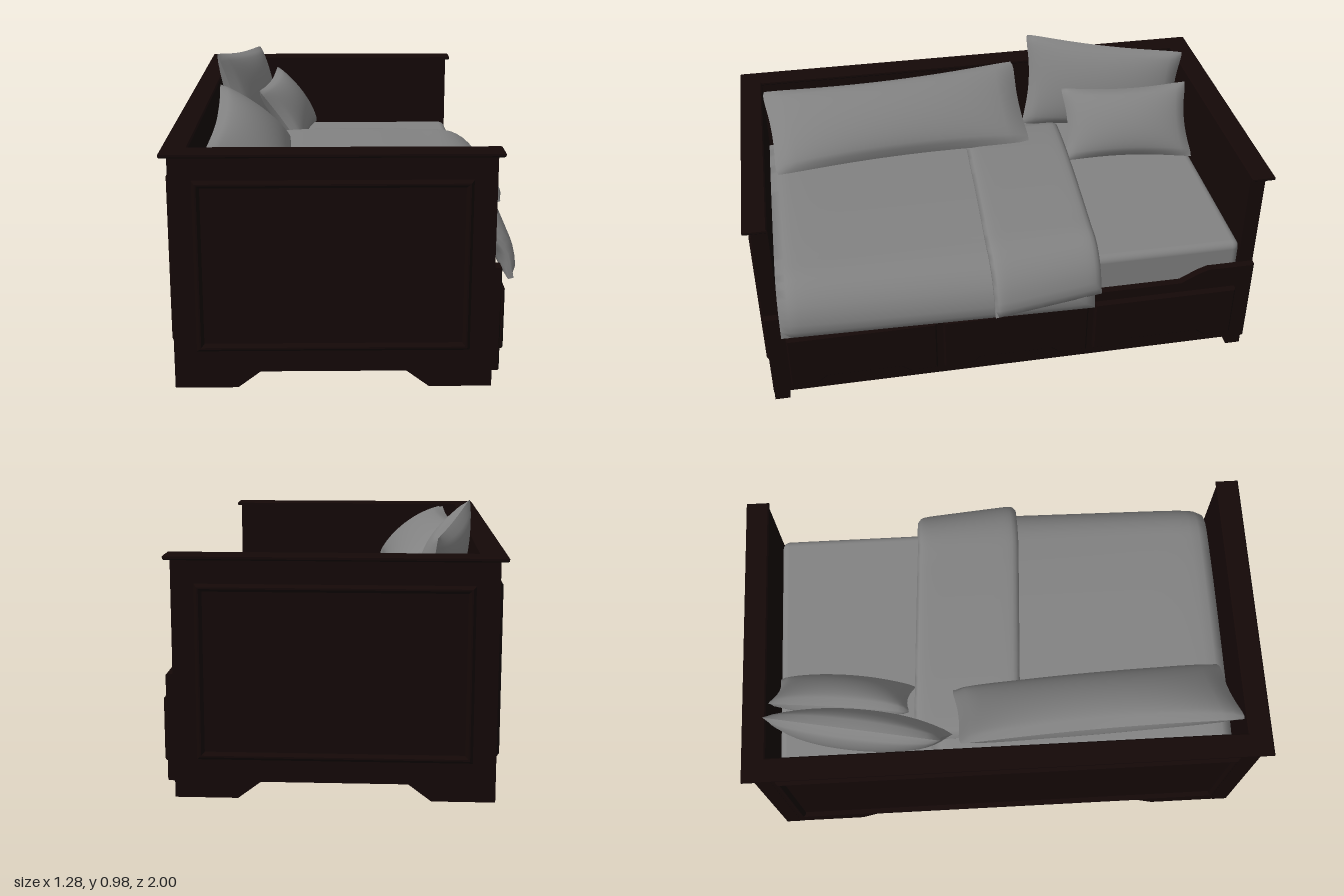
import * as THREE from 'three';
import { mergeGeometries, mergeVertices, toCreasedNormals } from 'three/addons/utils/BufferGeometryUtils.js';
import { RoundedBoxGeometry } from 'three/addons/geometries/RoundedBoxGeometry.js';

const wood = new THREE.MeshStandardMaterial({ color: 0x140807 });
const cloth = new THREE.MeshStandardMaterial({ color: 0x828282 });
const V = (p) => new THREE.Vector3(...p);

function add(group, name, geometry, material) {
  const mesh = new THREE.Mesh(geometry, material);
  mesh.name = name;
  group.add(mesh);
}

const outline = (pts) => new THREE.Shape(pts.map(([x, y]) => new THREE.Vector2(x, y)));

// Flat plate drawn in x-y and extruded from z = 0 to z = depth
function plate(shape, depth, bevel = 0) {
  const g = new THREE.ExtrudeGeometry(shape, {
    depth: depth - 2 * bevel, bevelEnabled: bevel > 0, bevelSize: bevel,
    bevelThickness: bevel, bevelOffset: -bevel, bevelSegments: 1,
  });
  return g.translate(0, 0, bevel);
}

// Same plate, drawn with [z, y] points and extruded along +x from x0
const sidePlate = (pts, x0, depth, bevel) =>
  plate(outline(pts.map(([z, y]) => [-z, y])), depth, bevel).rotateY(Math.PI / 2).translate(x0, 0, 0);

// Panel outline with a raised bottom edge between two sloped feet
const footed = (a, b, foot, slope) => [
  [a, 0], [a + foot, 0], [a + foot + slope, 0.06], [b - foot - slope, 0.06],
  [b - foot, 0], [b, 0], [b, 0.845], [a, 0.845],
];

// Rectangular moulding
function moulding(a, b, y0, y1) {
  const rect = (i) => [[a + i, y0 + i], [b - i, y0 + i], [b - i, y1 - i], [a + i, y1 - i]];
  const s = outline(rect(0));
  s.holes.push(outline(rect(0.026)));
  return plate(s, 0.03, 0.01);
}

// Cushion stretched between four corners: bottom left, bottom right, top right, top left
function pillow(corners, half, pinch) {
  const [a, b, c, d] = corners.map(V);
  const normal = b.clone().sub(a).add(c).sub(d).cross(d.clone().sub(a).add(c).sub(b)).normalize();
  const sides = [1, -1].map((side) => {
    const g = new THREE.PlaneGeometry(2, 2, 24, 20);
    if (side < 0) g.rotateY(Math.PI);
    const pos = g.attributes.position;
    for (let i = 0; i < pos.count; i++) {
      const u = pos.getX(i), v = pos.getY(i);
      const corner = 1 - 0.03 * Math.pow(u * v, 8);
      const s = (u * corner * (1 - pinch[0] * (1 - v * v)) + 1) / 2;
      const t = (v * corner * (1 - pinch[1] * (1 - u * u)) + 1) / 2;
      const puff = half * Math.pow(Math.max(0, (1 - u * u) * (1 - v * v)), 0.5);
      const p = a.clone().lerp(b, s).lerp(d.clone().lerp(c, s), t).addScaledVector(normal, side * puff);
      pos.setXYZ(i, p.x, p.y, p.z);
    }
    return g;
  });
  const g = mergeGeometries(sides);
  g.computeVertexNormals();
  return g;
}

// Thick cover following an x-y path, spread along z; skew shifts z with x, flare tilts the hanging end
function cover(path, half, z0, z1, skew, flare) {
  const curve = new THREE.CatmullRomCurve3(path.map(([x, y]) => new THREE.Vector3(x, y, 0)));
  let g = new THREE.BoxGeometry(2, 2, 2, 40, 4, 32);
  g.deleteAttribute('uv');
  g.deleteAttribute('normal');
  g = mergeVertices(g);
  const pos = g.attributes.position;
  for (let i = 0; i < pos.count; i++) {
    const u = pos.getX(i), v = pos.getY(i), w = pos.getZ(i);
    const t = (u + 1) / 2;
    const p = curve.getPointAt(t), k = curve.getTangentAt(t);
    const round = 0.3 + 0.7 * Math.sqrt((1 - Math.pow(u, 30)) * (1 - Math.pow(w, 12)));
    const h = v * half * round;
    const x = p.x - k.y * h, y = p.y + k.x * h;
    const z = z0 + (z1 - z0) * (w + 1) / 2;
    const hang = Math.max(0, x - 0.3) / 0.3;
    pos.setXYZ(i, x + flare * w * hang, y - 0.4 * flare * w * hang, z + skew * (Math.min(x, 0.4) + 0.2));
  }
  return toCreasedNormals(g, 1.3);
}

export function createModel() {
  const bed = new THREE.Group();
  bed.name = 'daybed';

  // End panels with mouldings, and the back panel
  for (const s of [1, -1]) {
    const end = new THREE.Group();
    end.name = s > 0 ? 'frontEnd' : 'rearEnd';
    add(end, 'endPanel', plate(outline(footed(-0.62, 0.49, 0.22, 0.08)), 0.06).translate(0, 0, s * 0.94 - 0.03), wood);
    add(end, 'endMoulding', moulding(-0.54, 0.41, 0.14, 0.755).translate(0, 0, s * 0.971 - 0.015), wood);
    bed.add(end);
  }
  add(bed, 'backPanel', sidePlate(footed(-0.968, 0.968, 0.33, 0.07), -0.619, 0.06), wood);
  add(bed, 'backMoulding', moulding(-0.89, 0.89, 0.14, 0.755).rotateY(Math.PI / 2).translate(-0.637, 0, 0), wood);

  // U-shaped top cap
  const cap = outline([[-0.645, -1], [0.51, -1], [0.51, -0.91], [-0.555, -0.91],
    [-0.555, 0.91], [0.51, 0.91], [0.51, 1], [-0.645, 1]]);
  add(bed, 'topCap', plate(cap, 0.018, 0.005).rotateX(-Math.PI / 2).translate(0, 0.838, 0), wood);

  // Base box
  add(bed, 'base', new THREE.BoxGeometry(1.06, 0.32, 1.83).translate(-0.035, 0.22, 0), wood);

  // Front rail with raised ends and three drawer fronts
  add(bed, 'frontRail', sidePlate([[0.97, 0.06], [-0.97, 0.06], [-0.97, 0.44], [-0.78, 0.44], [-0.74, 0.425],
    [-0.67, 0.387], [0.895, 0.387], [0.915, 0.44], [0.97, 0.44]], 0.485, 0.03, 0.004), wood);
  for (const z of [0.607, 0, -0.607]) {
    const drawer = [[0.29, 0.11], [0.18, 0.11], [0.145, 0.137], [-0.145, 0.137], [-0.18, 0.11],
      [-0.29, 0.11], [-0.29, 0.34], [0.29, 0.34]].map(([a, y]) => [a + z, y]);
    add(bed, 'drawerFront', sidePlate(drawer, 0.505, 0.033, 0.006), wood);
  }

  // Mattress, duvet and its folded-back band
  add(bed, 'mattress', new RoundedBoxGeometry(1.045, 0.2, 1.82, 4, 0.03).translate(-0.033, 0.435, 0), cloth);
  add(bed, 'duvet', cover([[-0.53, 0.54], [-0.3, 0.558], [0.1, 0.569], [0.35, 0.563], [0.47, 0.545], [0.54, 0.48], [0.565, 0.375]],
    0.034, -0.3, 0.91, 0, -0.012), cloth);
  add(bed, 'foldedBand', cover([[-0.44, 0.575], [-0.2, 0.6], [0.3, 0.605], [0.47, 0.59], [0.55, 0.53], [0.6, 0.425]],
    0.03, -0.355, 0.07, 0.05, 0.024), cloth);

  // Pillows
  add(bed, 'longPillow', pillow([[-0.19, 0.61, 0.89], [-0.24, 0.615, -0.215], [-0.545, 0.865, -0.19], [-0.5, 0.845, 0.92]],
    0.085, [0.035, 0.12]), cloth);
  add(bed, 'tallPillow', pillow([[-0.43, 0.6, -0.2], [-0.35, 0.55, -0.9], [-0.41, 0.91, -0.925], [-0.56, 0.985, -0.24]],
    0.08, [0.08, 0.08]), cloth);
  add(bed, 'smallPillow', pillow([[-0.2, 0.535, -0.35], [-0.135, 0.535, -0.915], [-0.33, 0.81, -0.92], [-0.39, 0.795, -0.365]],
    0.072, [0.09, 0.12]), cloth);

  return bed;
}
